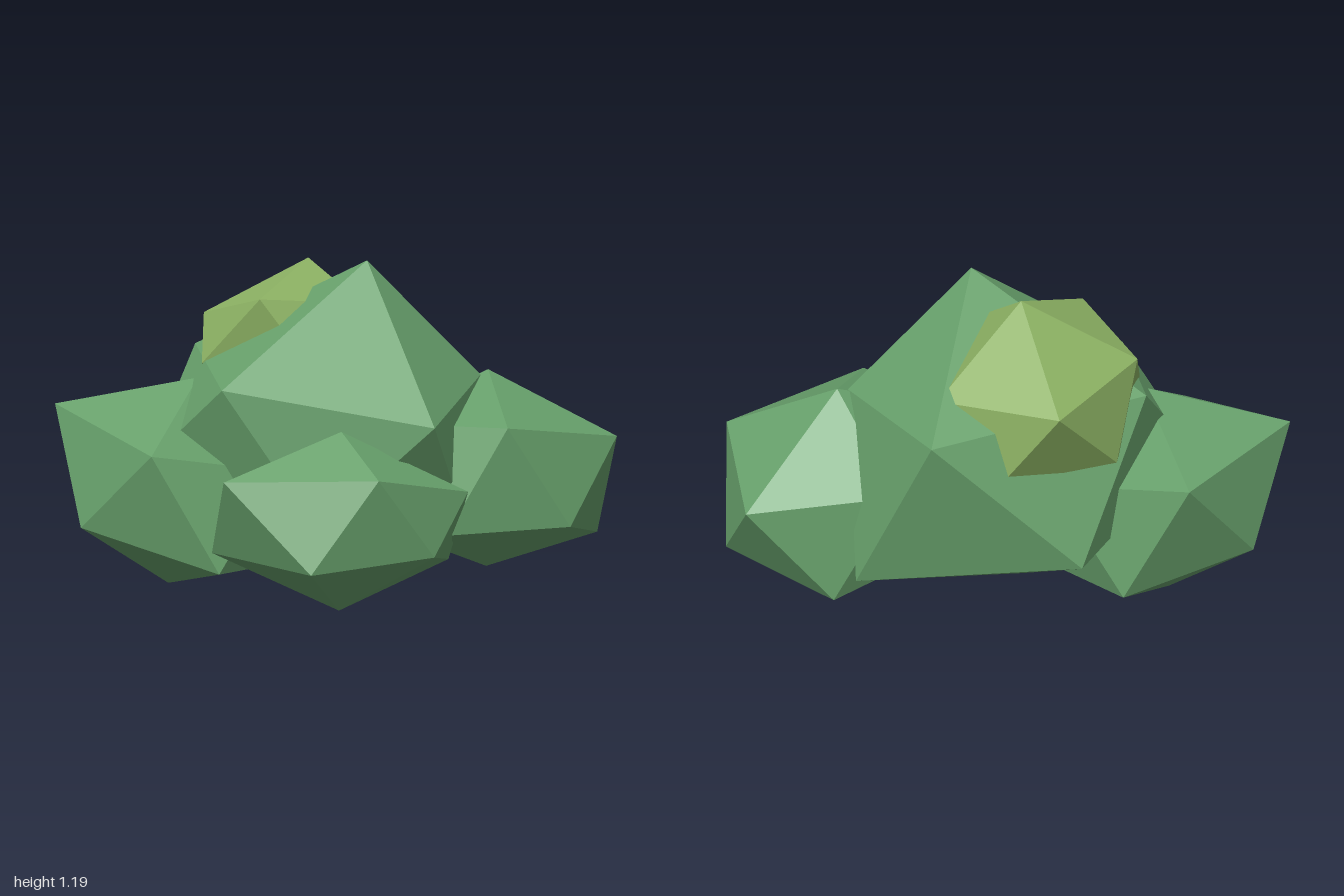
import * as THREE from 'three';
import { ConvexGeometry } from 'three/addons/geometries/ConvexGeometry.js';

const leaf = new THREE.MeshStandardMaterial({ color: 0x67a06b });
leaf.name = 'leaf green';
const sprout = new THREE.MeshStandardMaterial({ color: 0x8bb062 });
sprout.name = 'sprout green';

// An irregular twelve-cornered clump. Missing corners are given by mirroring
// the listed outer corners through the clump's centre.
function clump(name, material, corners, centre, mirrored = []) {
  const points = corners.map((c) => new THREE.Vector3(...c));
  const middle = new THREE.Vector3(...centre);
  for (const i of mirrored) points.push(middle.clone().multiplyScalar(2).sub(points[i]));
  const mesh = new THREE.Mesh(new ConvexGeometry(points), material);
  mesh.name = name;
  return mesh;
}

export function createModel() {
  const bush = new THREE.Group();
  bush.name = 'bush';

  // Large central clump: tip, upper ring, lower ring, underside
  bush.add(clump('mainClump', leaf, [
    [0.105, 1.19, -0.06],
    [0, 0.806, -0.73], [0.497, 0.76, -0.265], [0.408, 0.66, 0.36], [-0.31, 0.78, 0.437], [-0.57, 0.86, -0.2],
    [0.315, 0.23, -0.66], [0.48, 0.3, 0.1], [0.02, 0.3, 0.42], [-0.64, 0.48, 0.25], [-0.46, 0.36, -0.55],
    [-0.09, 0.04, -0.1],
  ], [0, 0.6, -0.1]));

  // Side clump on -x
  bush.add(clump('rightSideClump', leaf, [
    [-1, 0.675, 0.16], [-0.84, 0.27, 0.38], [-0.95, 0.3, -0.12],
    [-0.537, 0.56, 0.52], [-0.615, 0, 0.06], [-0.49, 0.77, 0.07],
    [-0.31, 0.155, 0.5], [-0.78, 0.63, -0.41], [-0.57, 0.2, -0.42],
  ], [-0.55, 0.385, 0.06], [0, 1, 2]));

  // Side clump on +x
  bush.add(clump('leftSideClump', leaf, [
    [1, 0.55, -0.24], [0.93, 0.145, -0.44], [0.855, 0.275, 0.075],
    [0.64, 0.64, 0.2], [0.52, 0.775, -0.305], [0.7, 0.44, -0.7],
    [0.54, 0.07, -0.13], [0.43, 0.1, -0.6], [0.44, 0.27, 0.27],
  ], [0.54, 0.38, -0.21], [0, 1, 2]));

  // Small clump at the front
  bush.add(clump('frontClump', leaf, [
    [-0.25, 0.51, 0.665], [0.055, 0.225, 0.73], [0.26, 0.525, 0.625],
    [0.425, 0.24, 0.47], [-0.335, 0.23, 0.5], [0.08, 0.01, 0.36], [0.1, 0.65, 0.425],
  ], [0.09, 0.33, 0.39], [0, 1, 2, 3, 4]));

  // Pale new growth on the upper back
  bush.add(clump('newGrowth', sprout, [
    [-0.155, 1.18, -0.29], [-0.53, 0.98, -0.18], [-0.39, 0.91, -0.6],
    [-0.52, 0.68, -0.37], [-0.19, 0.65, -0.6], [0.05, 0.89, -0.54], [-0.48, 0.82, 0.05],
  ], [-0.22, 0.855, -0.245], [0, 1, 2, 3, 4]));

  return bush;
}
